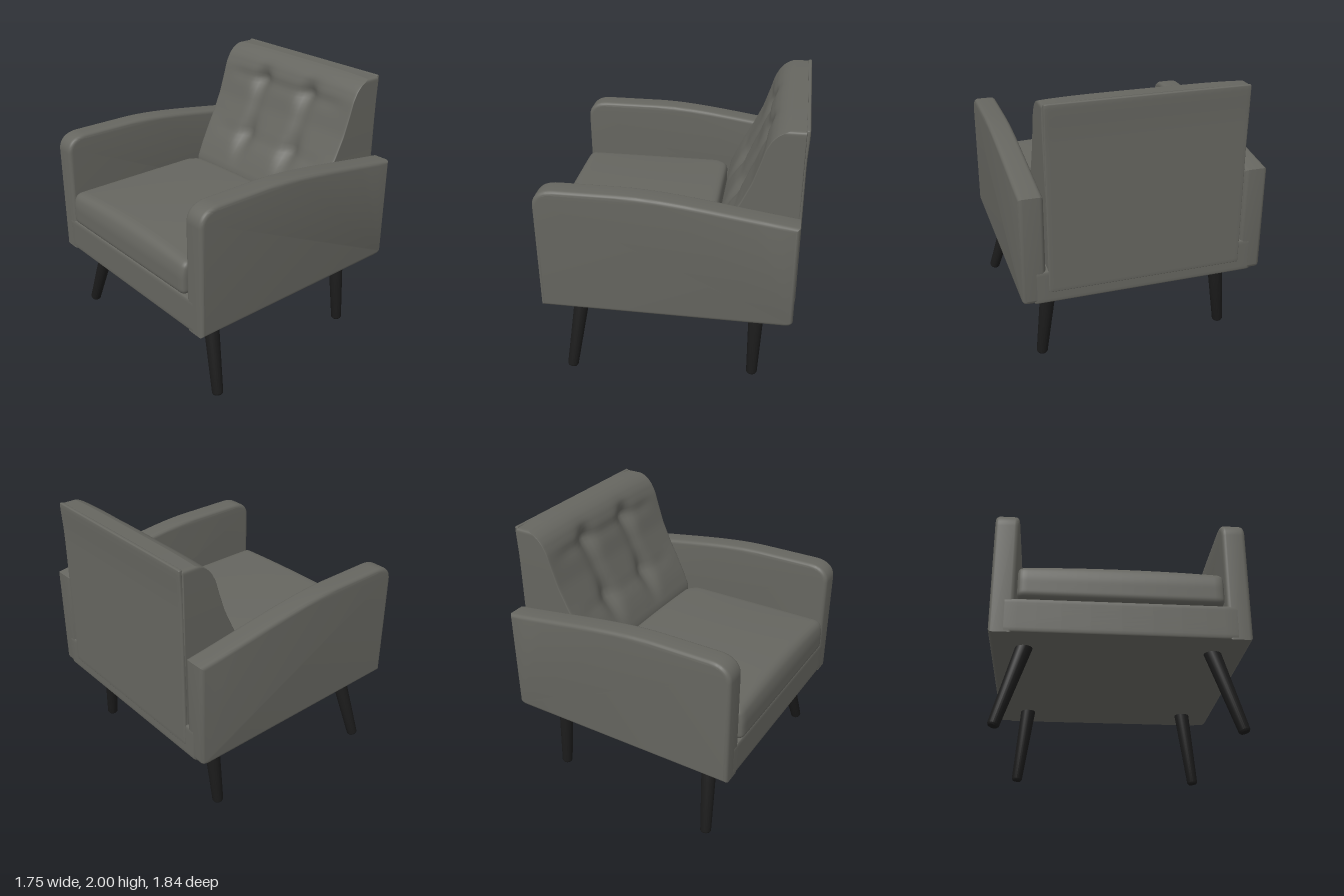
import * as THREE from 'three';
import { mergeVertices, toCreasedNormals } from 'three/addons/utils/BufferGeometryUtils.js';

// Padded block: a dense box with rounded edges, then bent by an optional rule
function softBox(w, h, d, r, seg, warp) {
  const geo = new THREE.BoxGeometry(2, 2, 2, seg, seg, seg);
  geo.deleteAttribute('uv');
  geo.deleteAttribute('normal');
  const p = geo.attributes.position;
  const half = new THREE.Vector3(w / 2, h / 2, d / 2);
  const inner = half.clone().subScalar(r);
  const v = new THREE.Vector3(), core = new THREE.Vector3();
  const ease = (t) => Math.sin(t * Math.PI / 2); // packs vertices toward the edges
  for (let i = 0; i < p.count; i++) {
    v.set(ease(p.getX(i)), ease(p.getY(i)), ease(p.getZ(i))).multiply(half);
    core.copy(v).clamp(inner.clone().negate(), inner);
    v.sub(core);
    if (v.lengthSq() > 0) v.setLength(r);
    v.add(core);
    if (warp) warp(v);
    p.setXYZ(i, v.x, v.y, v.z);
  }
  const smooth = mergeVertices(geo, 1e-5);
  smooth.computeVertexNormals();
  return smooth;
}

// Arm: side outline (z, y) extruded across the width with rounded edges
function armGeometry() {
  const b = 0.03, width = 0.165;
  const s = new THREE.Shape();
  s.moveTo(0.90 - b, 0.59 + b);
  s.lineTo(0.90 - b, 1.40);
  s.bezierCurveTo(0.90 - b, 1.46, 0.83, 1.53 - b, 0.74, 1.53 - b);
  s.lineTo(0.32, 1.53 - b);
  s.bezierCurveTo(0.0, 1.53 - b, -0.4, 1.45 - b, -0.90 + b, 1.385 - b);
  s.lineTo(-0.90 + b, 0.63);
  s.quadraticCurveTo(-0.90 + b, 0.59 + b, -0.86 + b, 0.59 + b);
  s.closePath();
  const geo = new THREE.ExtrudeGeometry(s, {
    depth: width - 2 * b, bevelEnabled: true, bevelSize: b, bevelThickness: b,
    bevelSegments: 5, curveSegments: 14,
  });
  geo.translate(0, 0, -(width - 2 * b) / 2);
  geo.rotateY(-Math.PI / 2);
  return toCreasedNormals(geo, 0.6);
}

// Front of the backrest: height and z
const BACK_PROFILE = [
  [0.68, -0.31], [1.08, -0.31], [1.2, -0.36], [1.34, -0.43], [1.45, -0.49], [1.6, -0.56],
  [1.75, -0.61], [1.85, -0.64], [1.92, -0.675], [1.96, -0.71], [1.985, -0.75], [2.0, -0.79],
];
const TUFT_X = [-0.25, 0.25], TUFT_Y = [1.36, 1.79];
const bump = (d, s) => Math.exp(-(d * d) / (2 * s * s));

function backFront(x, y) {
  let i = 1;
  while (i < BACK_PROFILE.length - 1 && BACK_PROFILE[i][0] < y) i++;
  const [y0, z0] = BACK_PROFILE[i - 1], [y1, z1] = BACK_PROFILE[i];
  let z = z0 + (z1 - z0) * THREE.MathUtils.clamp((y - y0) / (y1 - y0), 0, 1);
  // Stitched creases and button dimples
  const fade = THREE.MathUtils.smoothstep(y, 1.1, 1.3) * (1 - THREE.MathUtils.smoothstep(y, 1.78, 1.92));
  const inset = 1 - THREE.MathUtils.smoothstep(Math.abs(x), 0.45, 0.68);
  for (const tx of TUFT_X) {
    z -= 0.025 * bump(x - tx, 0.045) * fade;
    for (const ty of TUFT_Y) z -= 0.04 * bump(x - tx, 0.06) * bump(y - ty, 0.07);
  }
  for (const ty of TUFT_Y) z -= 0.012 * bump(y - ty, 0.03) * inset;
  return z;
}

export function createModel() {
  const fabric = new THREE.MeshStandardMaterial({ color: 0x666660 });
  fabric.name = 'grey upholstery';
  const black = new THREE.MeshStandardMaterial({ color: 0x1c1c1c });
  black.name = 'black wood';

  const chair = new THREE.Group();
  chair.name = 'armchair';
  const add = (name, geo, mat, x = 0, y = 0, z = 0) => {
    const m = new THREE.Mesh(geo, mat);
    m.name = name;
    m.position.set(x, y, z);
    chair.add(m);
    return m;
  };

  // Base, running into both arms so the front reads as one piece
  add('base', softBox(1.60, 0.25, 1.802, 0.02, 12), fabric, 0, 0.715, 0);

  // Arms
  const arm = armGeometry();
  add('leftArm', arm, fabric, 0.7925);
  add('rightArm', arm, fabric, -0.7925);

  // Seat cushion: crowned top, rounded rear corners, slightly bowed front
  const seat = softBox(1.40, 0.25, 1.21, 0.045, 28, (v) => {
    const u = v.x / 0.70, w = v.z / 0.605;
    if (v.y > 0) v.y += (v.y / 0.125) * (0.035 * (1 - u * u) * (1 - 0.3 * w * w));
    if (w > 0.9) v.z -= 0.03 * Math.max(0, v.y / 0.125) ** 2;
    // pull rear corners into an arc
    const cx = Math.abs(v.x) - 0.58, cz = -v.z - 0.485;
    if (cx > 0 && cz > 0) {
      const k = Math.max(cx, cz) / Math.hypot(cx, cz);
      v.x = Math.sign(v.x) * (0.58 + cx * k);
      v.z = -(0.485 + cz * k);
    }
  });
  add('seatCushion', seat, fabric, 0, 0.965, 0.313);

  // Tufted backrest, widening a little toward the top
  const backrest = softBox(1.41, 1.32, 1, 0.02, 56, (v) => {
    const y = v.y + 1.34, t = v.z + 0.5;
    v.z = -0.895 + t * (backFront(v.x, y) + 0.895);
    v.x *= 0.985 + 0.015 * THREE.MathUtils.smoothstep(y, 1.1, 1.9);
    v.y = y - 0.012 * (v.x / 0.705) ** 4 * THREE.MathUtils.smoothstep(y, 1.8, 2);
  });
  add('backrest', backrest, fabric);

  // Outer back panel, leaning out slightly at the top
  const panel = softBox(1.39, 1.325, 0.03, 0.012, 20, (v) => {
    v.z -= 0.01 * THREE.MathUtils.smoothstep(v.y, 0.4, 0.66);
  });
  add('backPanel', panel, fabric, 0, 1.335, -0.893);

  // Splayed tapered legs
  const up = new THREE.Vector3(0, 1, 0);
  for (const side of [1, -1]) {
    for (const [name, x0, z0, x1, z1] of [
      ['FrontLeg', 0.64, 0.645, 0.815, 0.72],
      ['BackLeg', 0.635, -0.64, 0.703, -0.628],
    ]) {
      const top = new THREE.Vector3(side * x0, 0.61, z0);
      const foot = new THREE.Vector3(side * x1, 0.01, z1);
      const axis = top.clone().sub(foot);
      const L = axis.length();
      const profile = [[0, 0], [0.032, 0], [0.04, 0.012], [0.058, L], [0, L]]
        .map(([r, h]) => new THREE.Vector2(r, h - L / 2));
      const leg = add((side > 0 ? 'left' : 'right') + name,
        toCreasedNormals(new THREE.LatheGeometry(profile, 20), 0.6), black);
      leg.position.copy(top).add(foot).multiplyScalar(0.5);
      leg.quaternion.setFromUnitVectors(up, axis.normalize());
    }
  }
  return chair;
}
